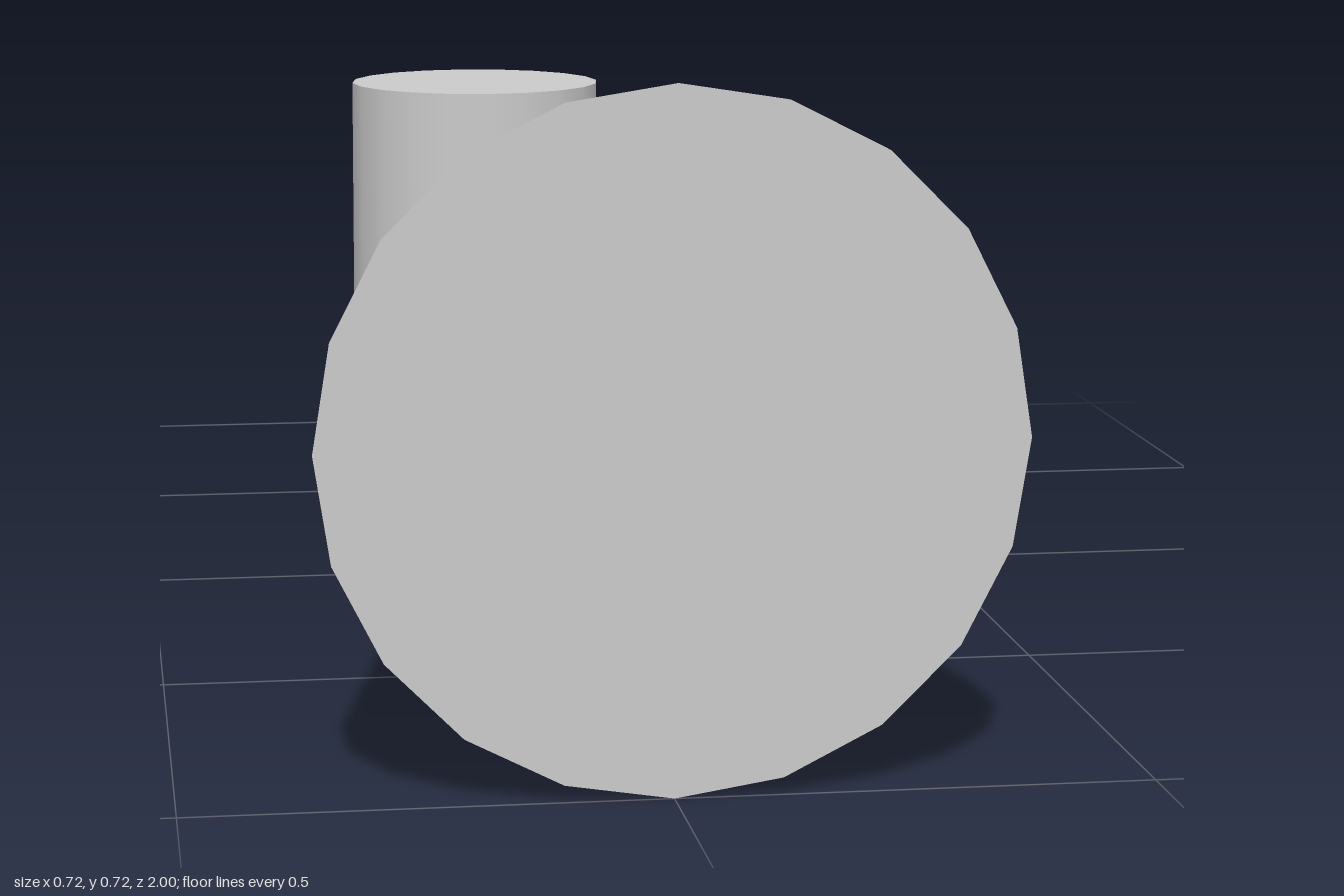
import * as THREE from 'three';

const AXIS_Y = 0.362; // shared centre height
const CONE_LENGTH = 1.628;

export function createModel() {
  const group = new THREE.Group();
  const material = new THREE.MeshStandardMaterial({ color: 0xcccccc });

  const add = (name, geometry, z) => {
    const mesh = new THREE.Mesh(geometry, material);
    mesh.name = name;
    mesh.position.set(0, AXIS_Y, z);
    group.add(mesh);
  };

  // Long cone lying on its side, flat base to the front, tip to the back
  const cone = new THREE.ConeGeometry(0.362, CONE_LENGTH, 20);
  cone.rotateX(-Math.PI / 2);
  // The tip is smoothed into one shared normal pointing backwards
  const { position, normal } = cone.attributes;
  for (let i = 0; i < position.count; i++) {
    if (position.getZ(i) < -CONE_LENGTH / 2 + 1e-4) normal.setXYZ(i, 0, 0, -1);
  }
  add('cone', cone, 1 - CONE_LENGTH / 2);

  // Upright cylinder just behind the tip
  add('cylinder', new THREE.CylinderGeometry(0.181, 0.181, 0.362, 20), -0.819);

  return group;
}
